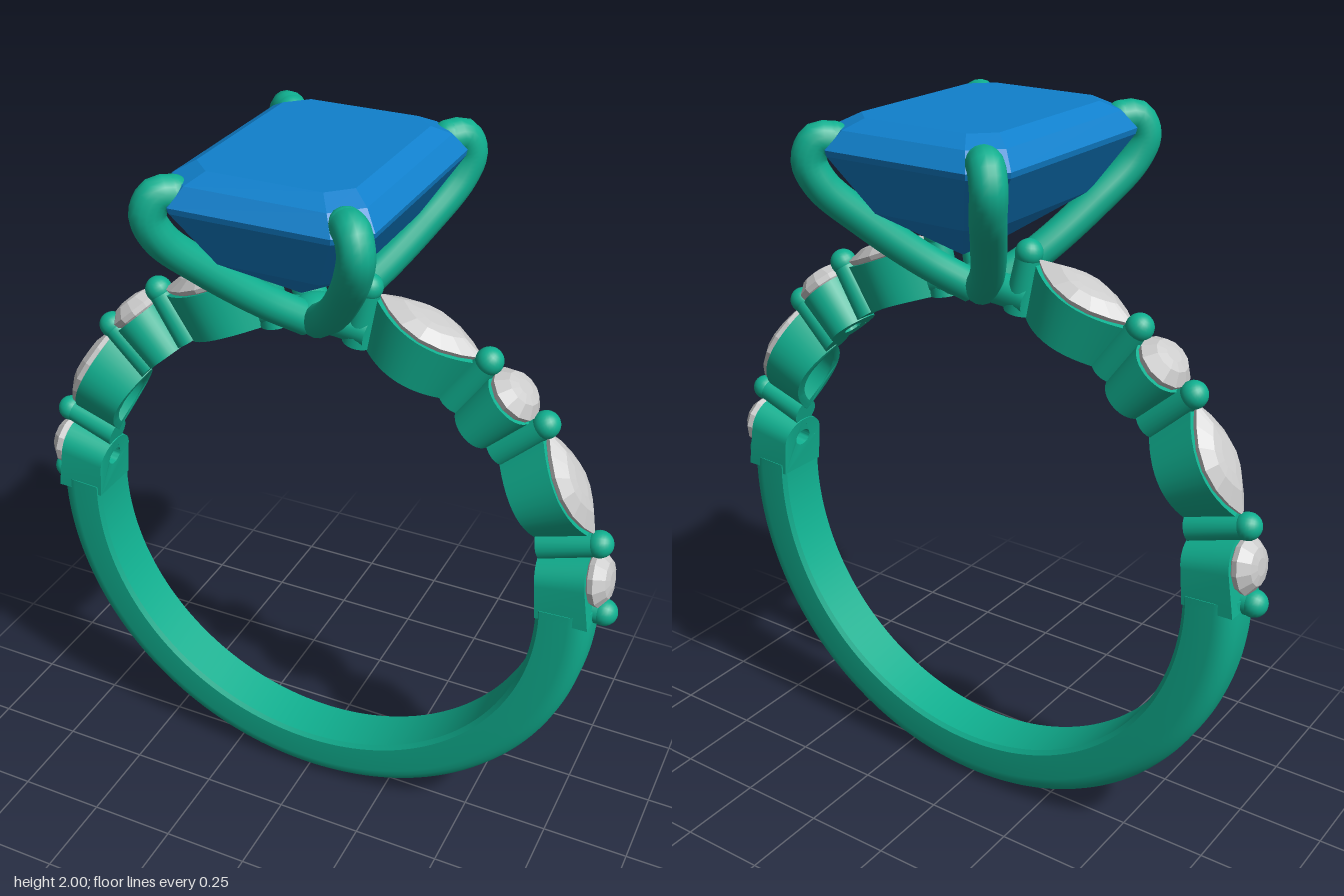
import * as THREE from 'three';
import { toCreasedNormals } from 'three/addons/utils/BufferGeometryUtils.js';

const CENTER_Y = 0.82, INNER = 0.675, OUTER = 0.82;
const rad = THREE.MathUtils.degToRad;
const metal = new THREE.MeshStandardMaterial({ color: 0x10b090 });
const blue = new THREE.MeshStandardMaterial({ color: 0x1080cc, flatShading: true });
const grey = new THREE.MeshStandardMaterial({ color: 0xcccccc, flatShading: true });

function add(parent, name, geometry, material) {
  const mesh = new THREE.Mesh(geometry, material);
  mesh.name = name;
  parent.add(mesh);
  return mesh;
}

// Skin over stacked loops (bottom to top) with equal point counts, closed with fans
function loft(loops) {
  const pos = [];
  const tri = (...p) => p.forEach(v => pos.push(v.x, v.y, v.z));
  const n = loops[0].length;
  const middle = loop => loop.reduce((s, p) => s.add(p), new THREE.Vector3()).divideScalar(n);
  const low = middle(loops[0]), top = loops[loops.length - 1], high = middle(top);
  for (let i = 0; i < n; i++) {
    const j = (i + 1) % n;
    tri(loops[0][j], loops[0][i], low);
    tri(top[i], top[j], high);
    for (let k = 0; k + 1 < loops.length; k++) {
      const a = loops[k], b = loops[k + 1];
      tri(a[i], a[j], b[j]);
      tri(a[i], b[j], b[i]);
    }
  }
  const g = new THREE.BufferGeometry();
  g.setAttribute('position', new THREE.Float32BufferAttribute(pos, 3));
  g.computeVertexNormals();
  return g;
}

// Outlines, counter-clockwise in 2D
function marquise(length, width, n) {
  return Array.from({ length: n }, (_, i) => {
    const a = i / n * Math.PI * 2, c = Math.cos(a);
    return new THREE.Vector2(length * c, Math.sign(Math.sin(a)) * width * (1 - c * c));
  });
}
function round(r, n) {
  return Array.from({ length: n }, (_, i) => {
    const a = i / n * Math.PI * 2;
    return new THREE.Vector2(r * Math.cos(a), r * Math.sin(a));
  });
}

// Small stone: outline scaled through pavilion, girdle, crown and table
function sideStone(outline, levels) {
  return loft(levels.map(([s, y]) => outline.map(p => new THREE.Vector3(p.x * s, y, -p.y * s))));
}

// Hollow cup: pierced outline running from the finger side to a flat rim
function cup(outline, hole, top) {
  const shape = new THREE.Shape(outline);
  shape.holes.push(new THREE.Path(hole));
  const g = new THREE.ExtrudeGeometry(shape, { depth: 1, bevelEnabled: false });
  g.rotateX(-Math.PI / 2);
  const p = g.attributes.position;
  for (let i = 0; i < p.count; i++) {
    if (p.getY(i) > 0.5) p.setY(i, top);
    else {
      const x = p.getX(i) * 0.83;
      p.setX(i, x);
      p.setY(i, Math.sqrt(INNER * INNER - x * x));
    }
  }
  return toCreasedNormals(g, 0.6);
}

// Group on the ring whose local y points outwards
function station(parent, name, degrees) {
  const g = new THREE.Group();
  g.name = name;
  g.position.y = CENTER_Y;
  g.rotation.z = rad(degrees - 90);
  parent.add(g);
  return g;
}

function shoulder() {
  const side = new THREE.Group();
  // Long pointed stones
  for (const angle of [29, 67.3]) {
    const s = station(side, 'marquiseSetting', angle);
    add(s, 'marquiseCup', cup(marquise(0.16, 0.08, 36), marquise(0.12, 0.052, 36), 0.805), metal);
    add(s, 'marquiseStone', sideStone(marquise(0.152, 0.08, 16),
      [[0.1, 0.755], [0.95, 0.808], [1, 0.82], [0.6, 0.842], [0.3, 0.846]]), grey);
  }
  // Round stones; the lower cup runs on into the shank
  for (const angle of [9.2, 48.3]) {
    const s = station(side, 'roundSetting', angle);
    let outline = round(0.078, 32);
    if (angle < 20) {
      outline = outline.filter(p => p.x < 0.001);
      outline.push(new THREE.Vector2(0.12, -0.078), new THREE.Vector2(0.12, 0.078));
    }
    add(s, 'roundCup', cup(outline, round(0.03, 24), 0.81), metal);
    add(s, 'roundStone', sideStone(round(0.078, 12),
      [[0.1, 0.765], [0.95, 0.815], [1, 0.83], [0.65, 0.857], [0.3, 0.863]]), grey);
  }
  // Beaded posts between stones
  for (const angle of [2, 16.5, 41, 55.6, 80]) {
    const s = station(side, 'beadPost', angle);
    if (angle > 10) {
      add(s, 'post', new THREE.CylinderGeometry(0.033, 0.042, 0.165, 20), metal).position.y = 0.76;
    } else {
      add(s, 'post', new THREE.CylinderGeometry(0.035, 0.035, 0.06, 20), metal).position.y = 0.81;
    }
    add(s, 'bead', new THREE.SphereGeometry(0.037, 20, 14), metal).position.y = 0.84;
  }
  return side;
}

export function createModel() {
  const ring = new THREE.Group();
  ring.name = 'ring';

  // Plain lower shank: flat inside, rounded outside
  const w = 0.08;
  const profile = [[INNER, -w + 0.01], [INNER + 0.012, -w], [0.765, -w]];
  for (let i = 1; i <= 5; i++) {
    const a = i / 5 * Math.PI / 2;
    profile.push([0.765 + 0.055 * Math.sin(a), -w + 0.055 * (1 - Math.cos(a))]);
  }
  const full = [...profile, ...profile.slice().reverse().map(([r, z]) => [r, -z])];
  const points = [...full, full[0]].map(([r, z]) => new THREE.Vector2(r, z));
  const shank = new THREE.LatheGeometry(points, 96, rad(-93), rad(186));
  shank.rotateX(Math.PI / 2);
  add(ring, 'shank', toCreasedNormals(shank, 0.6), metal).position.y = CENTER_Y;
  // Shank ends
  const endShape = new THREE.ShapeGeometry(new THREE.Shape(full.map(([r, z]) => new THREE.Vector2(r, -z))));
  endShape.rotateX(-Math.PI / 2);
  for (const turn of [3, 177]) {
    const end = add(ring, 'shankEnd', endShape,
      new THREE.MeshStandardMaterial({ color: 0x10b090, side: THREE.DoubleSide }));
    end.position.y = CENTER_Y;
    end.rotation.z = rad(turn);
  }

  // Jewelled shoulders
  for (const turn of [0, Math.PI]) {
    const side = shoulder();
    side.name = turn ? 'rightShoulder' : 'leftShoulder';
    side.rotation.y = turn;
    ring.add(side);
  }

  // Bridge and base under the main stone
  const bridge = add(ring, 'bridge', new THREE.TorusGeometry(0.718, 0.043, 16, 20, rad(24)), metal);
  bridge.position.y = CENTER_Y;
  bridge.rotation.z = rad(78);
  const base = add(ring, 'prongBase', new THREE.SphereGeometry(0.07, 24, 16), metal);
  base.position.y = 1.545;
  base.scale.set(1, 0.75, 1);

  // Four claw prongs
  const path = [[0.015, 1.535, 0.025], [0.1, 1.615, 0.12], [0.19, 1.735, 0.245], [0.25, 1.835, 0.335],
    [0.267, 1.9, 0.357], [0.25, 1.945, 0.342], [0.222, 1.945, 0.312]];
  for (const sx of [-1, 1]) for (const sz of [-1, 1]) {
    const pts = path.map(([x, y, z]) => new THREE.Vector3(sx * x, y, sz * z));
    const prong = new THREE.Group();
    prong.name = 'prong';
    ring.add(prong);
    add(prong, 'claw', new THREE.TubeGeometry(new THREE.CatmullRomCurve3(pts), 48, 0.045, 16), metal);
    add(prong, 'clawTip', new THREE.SphereGeometry(0.045, 16, 12), metal).position.copy(pts[6]);
  }

  // Step-cut main stone: half width, half depth, corner cut, height
  const levels = [[0.003, 0.09, 0.002, 1.64], [0.185, 0.27, 0.05, 1.765], [0.28, 0.362, 0.075, 1.915],
    [0.283, 0.365, 0.075, 1.93], [0.25, 0.33, 0.068, 1.975], [0.205, 0.28, 0.055, 2]];
  add(ring, 'mainStone', loft(levels.map(([x, z, c, y]) =>
    [[x, z - c], [x, c - z], [x - c, -z], [c - x, -z], [-x, c - z], [-x, z - c], [c - x, z], [x - c, z]]
      .map(([px, pz]) => new THREE.Vector3(px, y, pz)))), blue);

  return ring;
}
